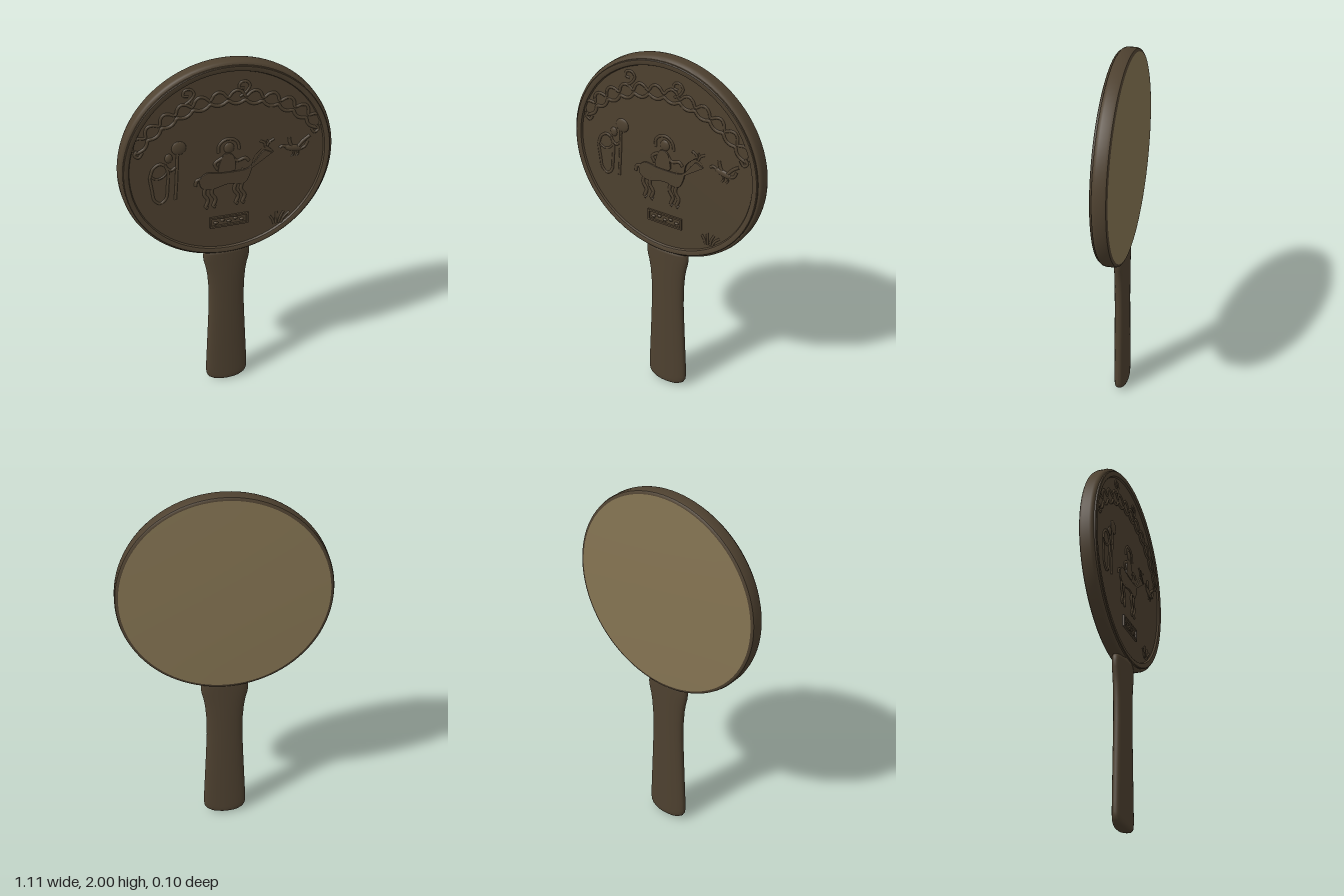
import * as THREE from 'three';
import { toCreasedNormals } from 'three/addons/utils/BufferGeometryUtils.js';

const bronze = new THREE.MeshStandardMaterial({ color: 0x4e4130 });
bronze.name = 'dark bronze';
const polished = new THREE.MeshStandardMaterial({ color: 0x867553 });
polished.name = 'polished bronze';

const CY = 1.444;    // centre height of the disc
const FIELD = 0.033; // depth of the recessed front field

function add(parent, name, geometry, material = bronze) {
  const mesh = new THREE.Mesh(geometry, material);
  mesh.name = name;
  parent.add(mesh);
  return mesh;
}

// Turned part whose axis points to the front
function turned(points, segments = 96) {
  const g = new THREE.LatheGeometry(points.map(p => new THREE.Vector2(...p)), segments);
  g.rotateX(Math.PI / 2);
  return toCreasedNormals(g, 0.6).translate(0, CY, 0);
}

// Raised line following x,y points on the front field
function stroke(parent, name, pts, r = 0.008, closed = false) {
  const curve = new THREE.CatmullRomCurve3(pts.map(p => new THREE.Vector3(p[0], p[1], 0)), closed);
  const g = new THREE.TubeGeometry(curve, Math.max(12, pts.length * 4), r, 6, closed);
  g.scale(1, 1, 0.9);
  return add(parent, name, g.translate(0, 0, FIELD));
}

// Low domed blob on the front field
function blob(parent, name, x, y, rx, ry, tilt = 0) {
  const g = new THREE.SphereGeometry(1, 20, 10);
  g.scale(rx, ry, 0.01).rotateZ(tilt);
  return add(parent, name, g.translate(x, y, FIELD));
}

// Softly bevelled plate with a smooth outline
function plate(parent, name, pts) {
  const shape = new THREE.Shape();
  shape.moveTo(...pts[0]);
  shape.splineThru([...pts.slice(1), pts[0]].map(p => new THREE.Vector2(...p)));
  const g = new THREE.ExtrudeGeometry(shape, {
    depth: 0.005, bevelThickness: 0.003, bevelSize: 0.003, bevelSegments: 2, curveSegments: 30,
  });
  return add(parent, name, g.translate(0, 0, FIELD));
}

function group(parent, name) {
  const g = new THREE.Group();
  g.name = name;
  parent.add(g);
  return g;
}

function makeHandle() {
  const profile = [[0.0001, 0], [0.05, 0.003], [0.085, 0.011], [0.105, 0.024], [0.115, 0.042], [0.118, 0.065],
    [0.117, 0.12], [0.111, 0.25], [0.104, 0.4], [0.098, 0.55], [0.099, 0.66], [0.105, 0.74],
    [0.113, 0.79], [0.123, 0.83], [0.127, 0.86], [0.125, 0.885], [0.118, 0.91], [0.0001, 0.915]];
  const g = new THREE.LatheGeometry(profile.map(p => new THREE.Vector2(...p)), 48, Math.PI / 2);
  const pos = g.attributes.position;
  for (let i = 0; i < pos.count; i++) {
    const x = pos.getX(i), z = pos.getZ(i), w = Math.hypot(x, z);
    const depth = 0.037 * Math.min(1, Math.sqrt(w / 0.1));
    const s = z / w;
    pos.setZ(i, depth * Math.sign(s) * Math.pow(Math.abs(s), 0.8));
  }
  g.computeVertexNormals();
  return g;
}

function addGarland(parent) {
  const garland = group(parent, 'garland');
  const at = (a, r) => [Math.sin(a) * r, 1.19 + Math.cos(a) * r];
  const N = 12, span = 0.88;
  const lower = [], upper = [];
  for (let i = 0; i <= N * 4; i++) {
    const t = i / (N * 4), a = (t * 2 - 1) * span, wave = Math.abs(Math.sin(t * N * Math.PI));
    lower.push(at(a, 0.605 - 0.018 * wave));
    upper.push(at(a, 0.625 + 0.035 * wave));
  }
  stroke(garland, 'garlandLower', lower, 0.009);
  stroke(garland, 'garlandUpper', upper, 0.008);
  // End loops and curls
  for (const s of [-1, 1]) {
    stroke(garland, 'garlandEnd', [[s * 0.46, 1.59], [s * 0.475, 1.565], [s * 0.455, 1.55], [s * 0.435, 1.575]], 0.008);
  }
  for (const [x, y] of [[-0.2, 1.86], [0.08, 1.865]]) {
    stroke(garland, 'curl', [[x - 0.02, y - 0.055], [x + 0.01, y - 0.035], [x + 0.03, y], [x + 0.012, y + 0.024],
      [x - 0.018, y + 0.02], [x - 0.024, y - 0.006], [x, y - 0.012]], 0.007);
  }
}

function addAttendant(parent) {
  const a = group(parent, 'attendant');
  stroke(a, 'robe', [[-0.405, 1.42], [-0.395, 1.35], [-0.385, 1.29], [-0.355, 1.265], [-0.325, 1.29], [-0.315, 1.36],
    [-0.31, 1.44], [-0.325, 1.49]]);
  stroke(a, 'shoulder', [[-0.405, 1.42], [-0.385, 1.475], [-0.35, 1.495], [-0.32, 1.48]]);
  stroke(a, 'robeFold', [[-0.40, 1.43], [-0.37, 1.41], [-0.335, 1.42], [-0.31, 1.45]], 0.006);
  blob(a, 'head', -0.305, 1.52, 0.02, 0.026);
  stroke(a, 'arm', [[-0.32, 1.47], [-0.295, 1.45], [-0.27, 1.465]]);
  stroke(a, 'staff', [[-0.277, 1.275], [-0.268, 1.4], [-0.26, 1.545]]);
  blob(a, 'staffDisc', -0.252, 1.57, 0.038, 0.038);
}

function addRider(parent) {
  const r = group(parent, 'deerAndRider');
  // Deer: body with neck and head
  plate(r, 'deerBody', [[-0.15, 1.37], [-0.11, 1.40], [-0.03, 1.39], [0.08, 1.39], [0.125, 1.41], [0.165, 1.46],
    [0.19, 1.485], [0.225, 1.47], [0.235, 1.48], [0.2, 1.515], [0.175, 1.505], [0.13, 1.455],
    [0.115, 1.37], [0.08, 1.315], [0, 1.325], [-0.09, 1.305], [-0.14, 1.325]]);
  stroke(r, 'tail', [[-0.14, 1.375], [-0.165, 1.365], [-0.172, 1.335]], 0.009);
  for (const x of [-0.115, -0.075, 0.045, 0.08]) {
    stroke(r, 'leg', [[x, 1.335], [x - 0.012, 1.28], [x + 0.008, 1.24], [x - 0.004, 1.20], [x + 0.008, 1.195]], 0.01);
  }
  stroke(r, 'antler', [[0.195, 1.505], [0.19, 1.53], [0.165, 1.545]], 0.007);
  stroke(r, 'antler', [[0.2, 1.505], [0.215, 1.53], [0.24, 1.545]], 0.007);
  stroke(r, 'antlerTine', [[0.212, 1.525], [0.2, 1.545]], 0.006);
  // Rider
  plate(r, 'riderTorso', [[-0.05, 1.40], [-0.045, 1.44], [-0.02, 1.495], [0.02, 1.49], [0.035, 1.44], [0.03, 1.40]]);
  blob(r, 'riderHead', 0.005, 1.53, 0.027, 0.03);
  stroke(r, 'headdress', [[-0.05, 1.51], [-0.048, 1.55], [-0.02, 1.578], [0.02, 1.58], [0.05, 1.555], [0.058, 1.515]], 0.008);
  stroke(r, 'arm', [[0.02, 1.48], [0.045, 1.45], [0.09, 1.46], [0.11, 1.44]], 0.009);
  stroke(r, 'arm', [[-0.03, 1.48], [-0.07, 1.45], [-0.055, 1.415]], 0.009);
  stroke(r, 'saddleCloth', [[-0.09, 1.40], [-0.06, 1.36], [0.01, 1.355], [0.06, 1.37], [0.08, 1.40]], 0.007);
}

function addBird(parent) {
  const b = group(parent, 'bird');
  blob(b, 'birdBody', 0.345, 1.475, 0.05, 0.018, -0.25);
  stroke(b, 'wing', [[0.34, 1.48], [0.325, 1.51], [0.32, 1.54]], 0.009);
  stroke(b, 'wing', [[0.365, 1.475], [0.395, 1.51], [0.43, 1.535]], 0.009);
  stroke(b, 'beak', [[0.305, 1.49], [0.285, 1.497], [0.27, 1.488]], 0.008);
  stroke(b, 'birdTail', [[0.385, 1.465], [0.405, 1.475], [0.42, 1.505]], 0.008);
  for (const x of [0.34, 0.365]) stroke(b, 'foot', [[x, 1.465], [x + 0.006, 1.44], [x - 0.004, 1.425]], 0.005);
}

function addPlaque(parent) {
  const p = group(parent, 'plaque');
  const bar = (w, h, x, y) => add(p, 'plaqueFrame', new THREE.BoxGeometry(w, h, 0.02).translate(x, y, FIELD));
  for (const s of [-1, 1]) {
    bar(0.208, 0.01, 0.005, 1.098 + s * 0.027);
    bar(0.01, 0.046, 0.005 + s * 0.099, 1.098);
  }
  for (let i = 0; i < 5; i++) {
    blob(p, 'plaqueStud', -0.065 + i * 0.035, 1.098 + (i % 2 ? 0.006 : -0.005), 0.013, 0.008);
  }
}

function addGrass(parent) {
  const g = group(parent, 'grass');
  for (const [x, dx, h] of [[0.25, -0.022, 0.05], [0.262, 0.0, 0.075], [0.278, 0.025, 0.07], [0.29, 0.045, 0.06]]) {
    stroke(g, 'grassBlade', [[x, 1.03], [x + dx * 0.3, 1.03 + h * 0.5], [x + dx, 1.03 + h]], 0.007);
  }
}

export function createModel() {
  const model = new THREE.Group();
  model.name = 'handMirror';

  // Disc with rounded edge, stepped front rim and recessed field
  add(model, 'discFrame', turned([[0.537, -0.043], [0.545, -0.042], [0.552, -0.037], [0.556, -0.024], [0.556, 0.015],
    [0.553, 0.027], [0.547, 0.033], [0.54, 0.035], [0.54, 0.043], [0.536, 0.046], [0.517, 0.046],
    [0.511, 0.043], [0.506, FIELD], [0.0001, FIELD]]));

  // Slightly domed reflecting face on the back
  add(model, 'mirrorFace', turned([[0.0001, -0.05], [0.15, -0.0495], [0.3, -0.0477], [0.43, -0.0455], [0.537, -0.043]]), polished);

  add(model, 'handle', makeHandle());

  // Front decoration
  const relief = group(model, 'relief');
  addGarland(relief);
  addAttendant(relief);
  addRider(relief);
  addBird(relief);
  addPlaque(relief);
  addGrass(relief);
  return model;
}
